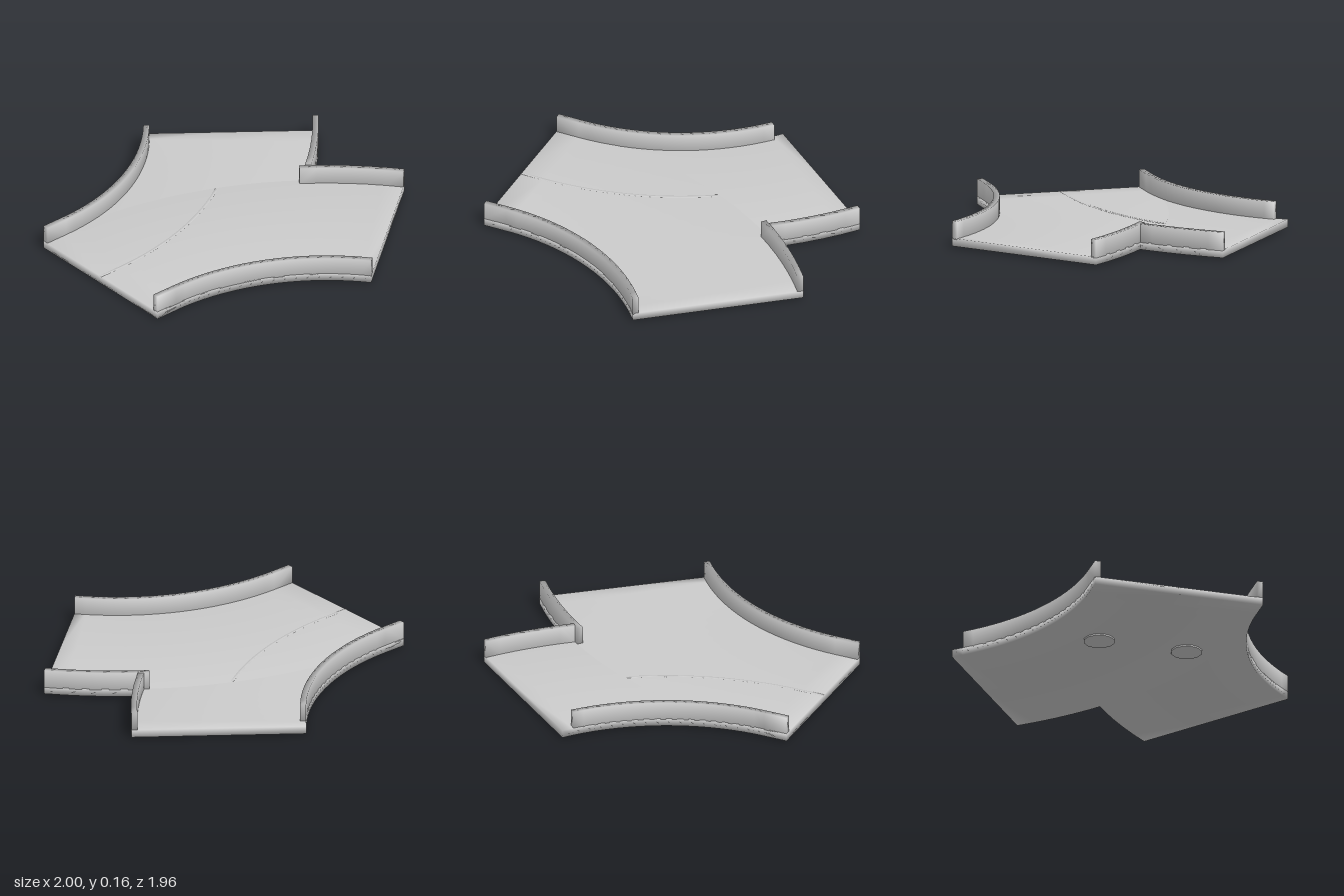
import * as THREE from 'three';

const CX = 1.825, CZ = 0.84;      // centre of the bend
const STRAIGHT = 0.14;            // straight lead-in before the bend
const R_IN = 1.325, R_MID = 1.825, R_OUT = 2.325;
const BEND = 51.5;                // degrees

// Sweeps a closed profile of [radius, y] points round the bend.
// side = 1 bends to +x, side = -1 is the mirror image.
function sweep(name, profile, side, fromDeg, toDeg, leadIn, steps) {
  const rows = leadIn ? [[0, STRAIGHT]] : [];
  for (let i = 0; i <= steps; i++) {
    rows.push([THREE.MathUtils.degToRad(fromDeg + ((toDeg - fromDeg) * i) / steps), 0]);
  }
  const n = profile.length, pos = [], index = [];
  const tri = (a, b, c) => (side > 0 ? index.push(a, b, c) : index.push(a, c, b));
  for (const [t, dz] of rows) {
    for (const [r, y] of profile) {
      pos.push(side * (CX - r * Math.cos(t)), y, CZ + dz - r * Math.sin(t));
    }
  }
  for (let i = 0; i < rows.length - 1; i++) {
    for (let j = 0; j < n; j++) {
      const a = i * n + j, b = i * n + ((j + 1) % n);
      tri(a, b + n, b);
      tri(a, a + n, b + n);
    }
  }
  // end caps
  const last = (rows.length - 1) * n;
  for (let k = 1; k < n - 1; k++) {
    tri(0, k, k + 1);
    tri(last, last + k + 1, last + k);
  }
  const geo = new THREE.BufferGeometry();
  geo.setAttribute('position', new THREE.Float32BufferAttribute(pos, 3));
  geo.setIndex(index);
  geo.computeVertexNormals();
  const mesh = new THREE.Mesh(geo, new THREE.MeshStandardMaterial({ color: 0xcccccc }));
  mesh.name = name;
  return mesh;
}

// Rectangle profile, counter-clockwise seen from the front
const rect = (rBig, rSmall, y0, y1) => [[rBig, y0], [rSmall, y0], [rSmall, y1], [rBig, y1]];

// Road slab profile with a middle row of points
const slab = (y0, y1) => [
  [R_OUT, y0], [R_MID, y0], [R_IN, y0], [R_IN, y1], [R_MID, y1], [R_OUT, y1],
];

export function createModel() {
  const model = new THREE.Group();
  model.name = 'forkedTrack';

  // two overlapping curved roads
  model.add(sweep('rightwardRoad', slab(0.01, 0.056), 1, 0, BEND, true, 18));
  model.add(sweep('leftwardRoad', slab(0.009, 0.055), -1, 0, BEND, true, 18));

  // thin seam down the middle of the mirrored road, up to the other road's edge
  model.add(sweep('centreSeam', rect(R_MID + 0.008, R_MID - 0.008, 0.05, 0.0575), -1, 0, 32, true, 14));

  // long side rails
  const sideRail = rect(R_IN + 0.035, R_IN, 0.05, 0.157);
  model.add(sweep('sideRailPlusX', sideRail, 1, 0, BEND, true, 18));
  model.add(sweep('sideRailMinusX', sideRail, -1, 0, 48.5, true, 18));

  // short rails meeting in the notch of the fork
  const forkRail = rect(R_OUT, R_OUT - 0.035, 0.05, 0.157);
  model.add(sweep('forkRailPlusX', forkRail, 1, 36.6, BEND, false, 6));
  model.add(sweep('forkRailMinusX', forkRail, -1, 38, BEND, false, 6));

  // shallow pads underneath
  for (const side of [1, -1]) {
    const pad = new THREE.Mesh(
      new THREE.CylinderGeometry(0.09, 0.09, 0.012, 12),
      new THREE.MeshStandardMaterial({ color: 0xcccccc })
    );
    pad.name = 'footPad';
    pad.position.set(side * 0.26, 0.006, 0.26);
    model.add(pad);
  }
  return model;
}
